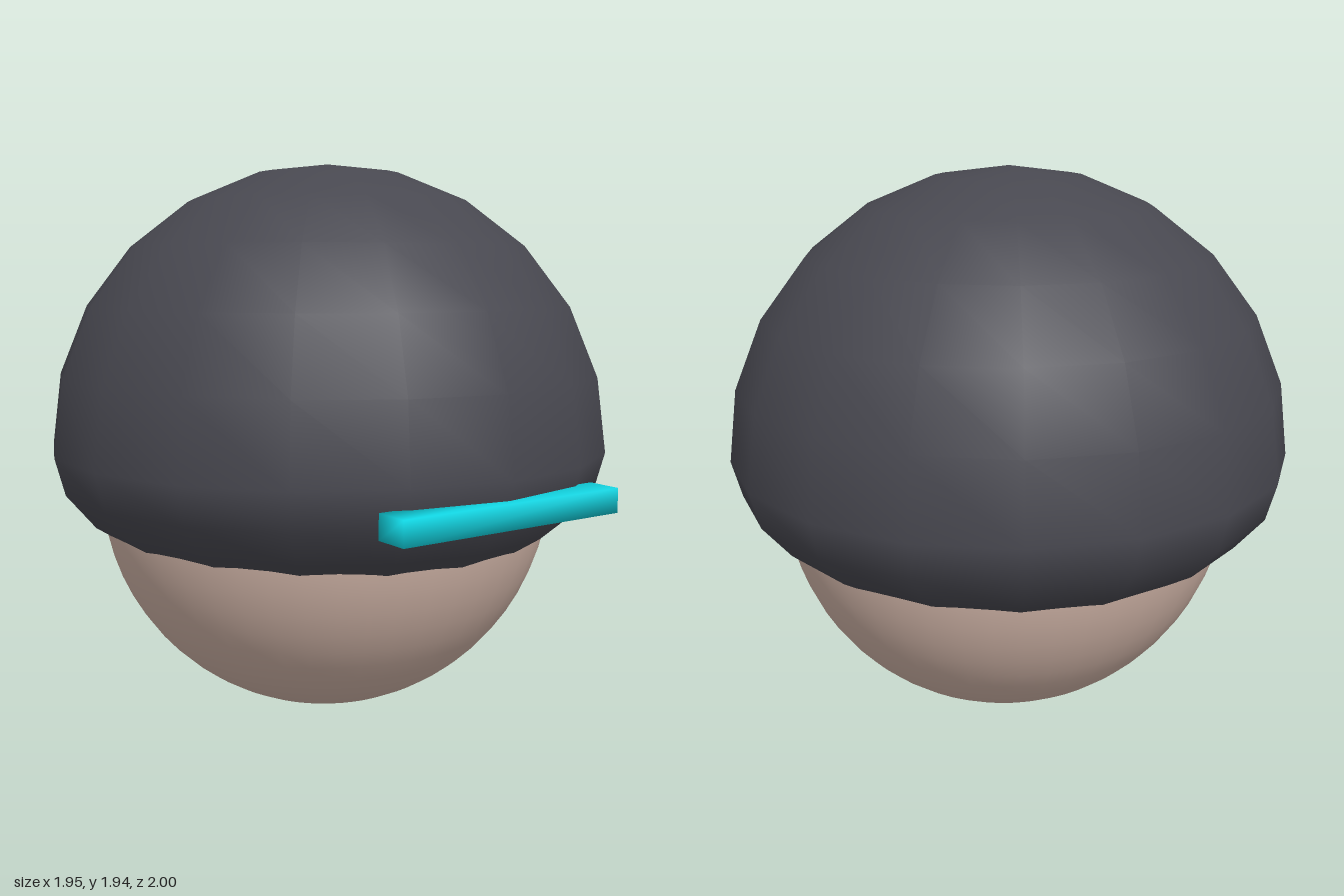
import * as THREE from 'three';
import { mergeVertices } from 'three/addons/utils/BufferGeometryUtils.js';

const makeMaterial = (name, color) => {
  const material = new THREE.MeshStandardMaterial({ color });
  material.name = name;
  return material;
};

export function createModel() {
  const skin = makeMaterial('skin', 0xcfb3a6);
  const cloth = makeMaterial('dark cloth', 0x484850);
  const cyan = makeMaterial('cyan', 0x10d3e0);

  const model = new THREE.Group();
  model.name = 'hoodedHead';
  const add = (name, geometry, material, x, y, z) => {
    const mesh = new THREE.Mesh(geometry, material);
    mesh.name = name;
    mesh.position.set(x, y, z);
    model.add(mesh);
    return mesh;
  };

  // Head: smooth ball, slightly narrower front to back
  const head = add('head', new THREE.SphereGeometry(0.825, 48, 32), skin, 0, 0.825, -0.01);
  head.scale.z = 0.95;

  // Hood: 18-sided dome whose underside is squashed to half height and tucks into the head
  const radius = 0.99;
  const profile = [];
  for (let degrees = 135; degrees >= 0; degrees -= 15) {
    const a = THREE.MathUtils.degToRad(degrees);
    const squash = degrees > 90 ? 0.5 : 1;
    profile.push(new THREE.Vector2(radius * Math.sin(a), radius * Math.cos(a) * squash));
  }
  add('hood', new THREE.LatheGeometry(profile, 18), cloth, 0, 0.95, -0.01);

  // Visor: bar with shared corners for soft shading
  let bar = new THREE.BoxGeometry(0.85, 0.08, 0.115);
  bar.deleteAttribute('normal');
  bar.deleteAttribute('uv');
  bar = mergeVertices(bar);
  bar.computeVertexNormals();
  add('visor', bar, cyan, 0, 0.85, 0.9425);

  return model;
}
